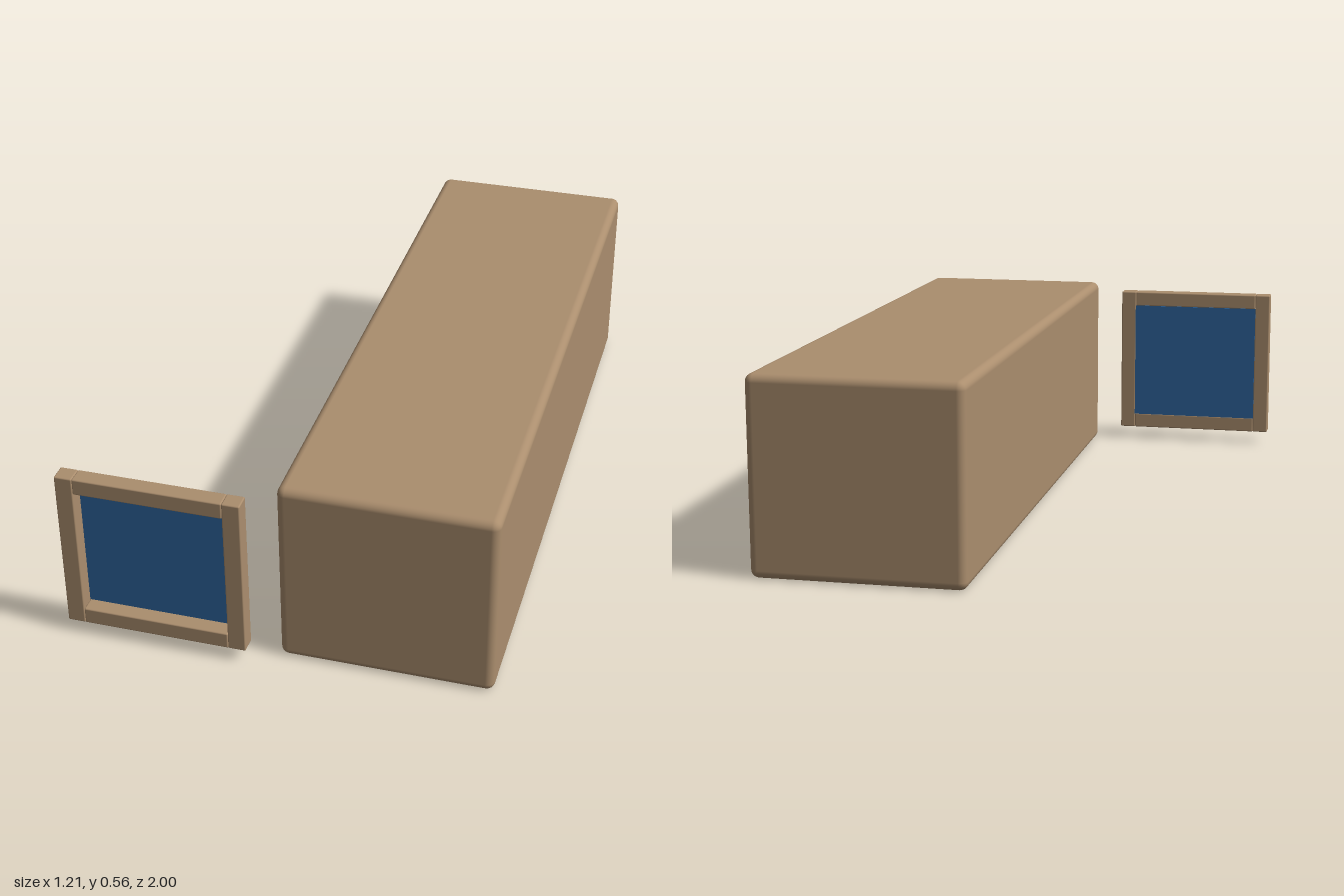
import * as THREE from 'three';
import { RoundedBoxGeometry } from 'three/addons/geometries/RoundedBoxGeometry.js';

export function createModel() {
  const model = new THREE.Group();
  const wood = new THREE.MeshStandardMaterial({ name: 'tan wood', color: 0xab8e6e });
  const blue = new THREE.MeshStandardMaterial({ name: 'blue pane', color: 0x2f669f });

  // Rounded block given by its minimum and maximum corners
  function block(name, min, max, radius, material, parent) {
    const size = max.map((v, i) => v - min[i]);
    const mesh = new THREE.Mesh(new RoundedBoxGeometry(...size, 3, radius), material);
    mesh.position.set(...min.map((v, i) => (v + max[i]) / 2));
    mesh.name = name;
    parent.add(mesh);
  }

  // Long body with softly rounded edges
  block('body', [0, 0, -1], [0.607, 0.565, 0.944], 0.024, wood, model);

  // Separate window: two posts, two rails and a pane set near the back
  const frame = new THREE.Group();
  frame.name = 'windowFrame';
  model.add(frame);
  for (const [side, x] of [['right', -0.607], ['left', -0.132]]) {
    block(side + 'Post', [x, 0.04, 0.949], [x + 0.051, 0.53, 1], 0.004, wood, frame);
  }
  for (const [end, y] of [['bottom', 0.04], ['top', 0.481]]) {
    block(end + 'Rail', [-0.556, y, 0.949], [-0.132, y + 0.049, 1], 0.004, wood, frame);
  }
  const pane = new THREE.Mesh(new THREE.BoxGeometry(0.426, 0.394, 0.008), blue);
  pane.position.set(-0.344, 0.285, 0.951);
  pane.name = 'pane';
  frame.add(pane);

  return model;
}
